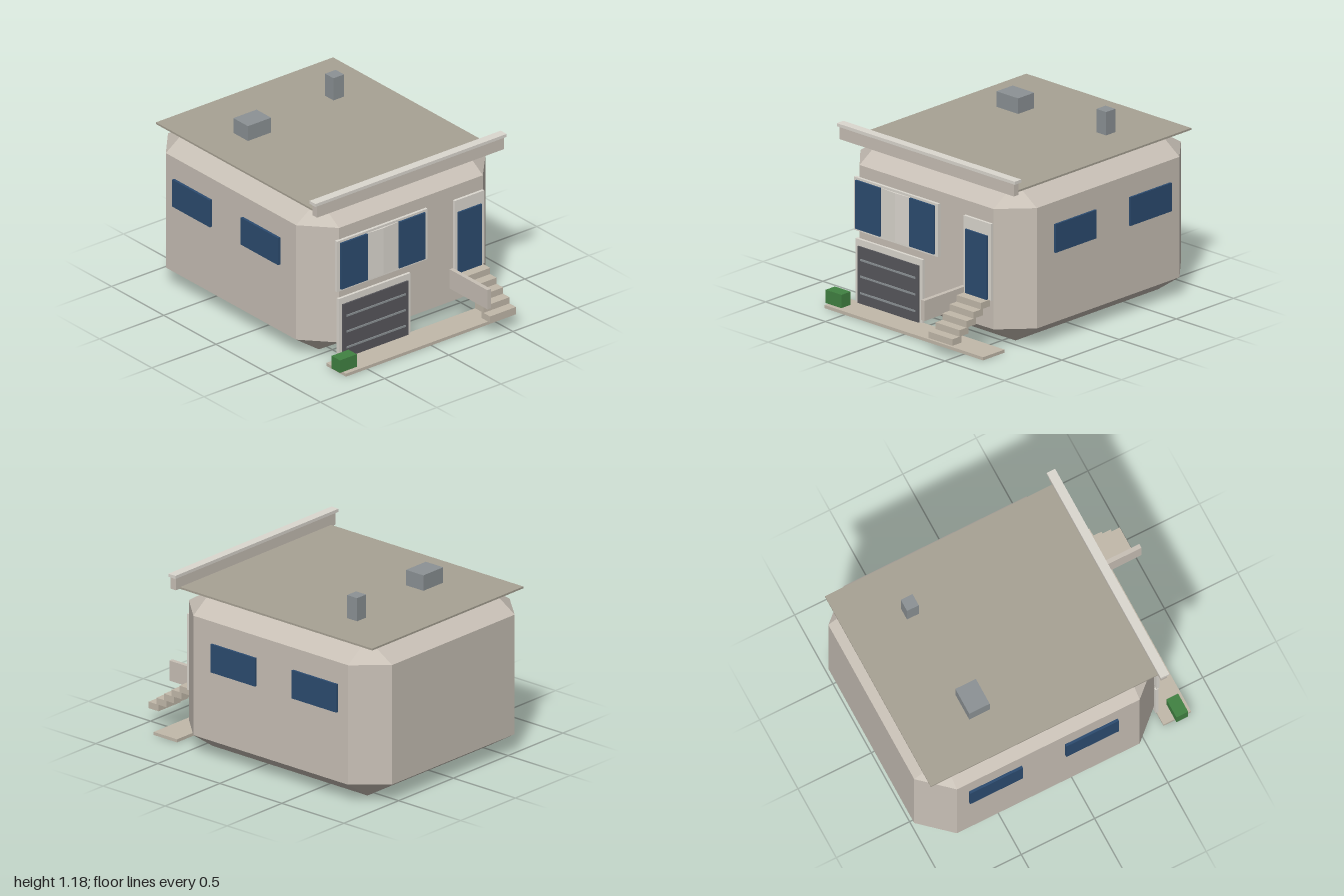
import * as THREE from 'three';
import { ConvexGeometry } from 'three/addons/geometries/ConvexGeometry.js';

const mat = (color) => new THREE.MeshStandardMaterial({ color, flatShading: true });

export function createModel() {
  const house = new THREE.Group();
  house.name = 'house';

  const wall = mat(0xc8c0b6), roofing = mat(0xa8a294), trim = mat(0xdcd8d0);
  const glass = mat(0x2c4c70), shutter = mat(0x58575c), metal = mat(0x8c9295);
  const paving = mat(0xc2b9aa), leaf = mat(0x418242);

  // Box given by its limits on each axis
  function box(name, material, [x0, x1], [y0, y1], [z0, z1], parent = house) {
    const mesh = new THREE.Mesh(new THREE.BoxGeometry(x1 - x0, y1 - y0, z1 - z0), material);
    mesh.position.set((x0 + x1) / 2, (y0 + y1) / 2, (z0 + z1) / 2);
    mesh.name = name;
    parent.add(mesh);
    return mesh;
  }

  function group(name) {
    const g = new THREE.Group();
    g.name = name;
    house.add(g);
    return g;
  }

  // Main body: a box with every edge and corner chamfered
  const corners = [];
  for (const sx of [-1, 1]) {
    for (const [yFlat, ySide] of [[0, 0.122], [1.02, 0.897]]) {
      for (const [zIn, zOut] of [[0.445, 0.638], [-0.802, -1]]) {
        corners.push(
          new THREE.Vector3(sx * 0.56, yFlat, zIn),
          new THREE.Vector3(sx * 0.738, ySide, zIn),
          new THREE.Vector3(sx * 0.56, ySide, zOut)
        );
      }
    }
  }
  const body = new THREE.Mesh(new ConvexGeometry(corners), wall);
  body.name = 'body';
  house.add(body);

  // Flat roof, front parapet and its coping
  box('roof', roofing, [-0.69, 0.69], [1.018, 1.03], [-0.955, 0.6]);
  box('parapet', wall, [-0.73, 0.728], [1.02, 1.1], [0.594, 0.636]);
  box('parapetCoping', trim, [-0.747, 0.743], [1.1, 1.12], [0.585, 0.642]);

  // Roof vent and chimney
  box('roofVent', metal, [-0.417, -0.236], [1.03, 1.13], [-0.55, -0.41]);
  box('chimney', metal, [0.327, 0.409], [1.03, 1.18], [-0.585, -0.505]);

  // Two windows on each side wall
  for (const s of [-1, 1]) {
    for (const z of [[-0.064, 0.294], [-0.72, -0.36]]) {
      box('sideWindow', glass, s > 0 ? [0.73, 0.752] : [-0.755, -0.73], [0.572, 0.755], z);
    }
  }

  // Wide front window: frame, two panes and a shallow ridged centre panel
  const front = group('frontWindow');
  box('windowFrame', trim, [-0.59, 0.115], [0.478, 0.82], [0.636, 0.656], front);
  box('windowPane', glass, [-0.567, -0.361], [0.493, 0.805], [0.65, 0.669], front);
  box('windowPane', glass, [-0.115, 0.09], [0.493, 0.805], [0.65, 0.669], front);
  const ridge = [];
  for (const y of [0.493, 0.805]) {
    for (const [x, z] of [[-0.361, 0.65], [-0.361, 0.66], [-0.238, 0.667], [-0.115, 0.66], [-0.115, 0.65]]) {
      ridge.push(new THREE.Vector3(x, y, z));
    }
  }
  const panel = new THREE.Mesh(new ConvexGeometry(ridge), trim);
  panel.name = 'windowCentrePanel';
  front.add(panel);

  // Garage: surround, door and three ribs
  const garage = group('garage');
  box('garageFrame', trim, [-0.577, -0.018], [0.02, 0.427], [0.636, 0.656], garage);
  box('garageDoor', shutter, [-0.55, -0.042], [0.02, 0.385], [0.65, 0.666], garage);
  for (const y of [0.089, 0.196, 0.303]) {
    box('garageRib', metal, [-0.526, -0.067], [y - 0.006, y + 0.006], [0.66, 0.671], garage);
  }

  // Entrance: door frame and door
  const entrance = group('entrance');
  box('doorFrame', trim, [0.327, 0.557], [0.31, 0.803], [0.636, 0.656], entrance);
  box('door', glass, [0.349, 0.53], [0.312, 0.723], [0.65, 0.668], entrance);

  // Floating steps and the low side wall beside them
  for (let i = 0; i < 5; i++) {
    const y = 0.102 + i * 0.042, z = 0.978 - i * 0.062;
    box('step', paving, [0.34, 0.542], [y, y + 0.042], [z - 0.08, z], entrance);
  }
  box('stairWall', wall, [0.301, 0.329], [0.213, 0.343], [0.636, 1], entrance);

  // Forecourt and hedge
  box('forecourt', paving, [-0.665, 0.66], [0, 0.02], [0.645, 0.833]);
  box('hedge', leaf, [-0.687, -0.555], [0.02, 0.105], [0.722, 0.802]);

  return house;
}
